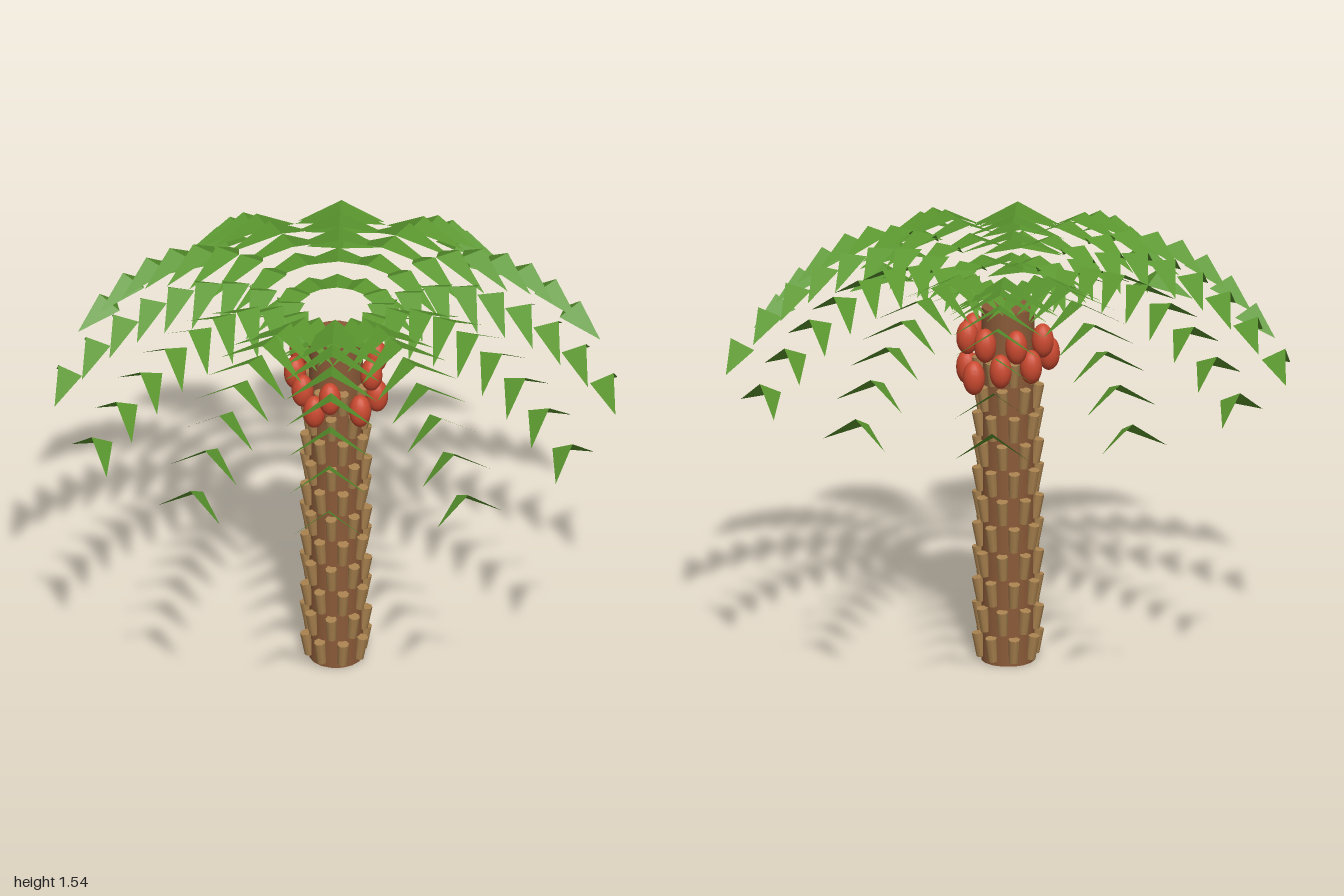
import * as THREE from 'three';

const mat = (name, color, extra = {}) => {
  const m = new THREE.MeshStandardMaterial({ color, ...extra });
  m.name = name;
  return m;
};

// One frond: a row of folded leaflets along a drooping arc, pointing along +x
function frondGeometry() {
  const pos = [];
  for (let i = 0; i < 9; i++) {
    const r = 0.99 - i * 0.098;
    const y = 1.54 - 1.26 * (r - 0.46) ** 2;
    const tilt = Math.max(0, 0.9 * (r - 0.46));
    const width = 0.21 - 0.08 * r;
    const ridge = [r, y, 0];
    const apex = [r - 0.095 * Math.cos(tilt), y - 0.095 * Math.sin(tilt), 0];
    const tip = s => [r + 0.01, y - 0.095, s * width];
    pos.push(...apex, ...tip(1), ...ridge, ...apex, ...ridge, ...tip(-1));
  }
  const g = new THREE.BufferGeometry();
  g.setAttribute('position', new THREE.Float32BufferAttribute(pos, 3));
  g.computeVertexNormals();
  return g;
}

export function createModel() {
  const model = new THREE.Group();
  model.name = 'palmTree';
  const bark = mat('bark brown', 0x8a5a38);
  const scaleTan = mat('bark scale tan', 0xa9824f);
  const leafGreen = mat('leaf green', 0x5a962e, { side: THREE.DoubleSide });
  const fruitRed = mat('fruit red', 0xcb4a30);

  const add = (parent, name, geometry, material) => {
    const mesh = new THREE.Mesh(geometry, material);
    mesh.name = name;
    parent.add(mesh);
    return mesh;
  };
  const group = name => {
    const g = new THREE.Group();
    g.name = name;
    model.add(g);
    return g;
  };

  // Trunk
  add(model, 'trunk', new THREE.CylinderGeometry(0.097, 0.097, 1.33, 16), bark).position.y = 0.665;

  // Staggered rings of bark scales, leaning outward at the top
  const scales = group('barkScales');
  const scaleGeo = new THREE.CylinderGeometry(0.021, 0.017, 0.09, 8);
  scaleGeo.rotateZ(-0.15);
  scaleGeo.translate(0.104, 0, 0);
  for (let row = 0; row < 11; row++) {
    for (let i = 0; i < 8; i++) {
      const scale = add(scales, 'barkScale', scaleGeo, scaleTan);
      scale.position.y = 0.062 + row * 0.104;
      scale.rotation.y = (i + (row % 2) / 2) * Math.PI / 4;
    }
  }

  // Fruit cluster under the crown: [angle from +x towards +z, height]
  const fruits = group('fruits');
  const fruitGeo = new THREE.SphereGeometry(1, 16, 12);
  fruitGeo.scale(0.04, 0.063, 0.04);
  const spots = [
    [0, 1.21], [23, 1.085], [67, 1.15], [90, 1.085], [112, 1.15], [157, 1.16], [180, 1.225],
    [203, 1.14], [225, 1.22], [247, 1.13], [270, 1.22], [292, 1.085], [315, 1.22], [337, 1.09],
  ];
  for (const [deg, y] of spots) {
    const a = THREE.MathUtils.degToRad(deg);
    add(fruits, 'fruit', fruitGeo, fruitRed).position.set(0.148 * Math.cos(a), y, 0.148 * Math.sin(a));
  }

  // Crown of twelve fronds
  const crown = group('crown');
  const frondGeo = frondGeometry();
  for (let i = 0; i < 12; i++) {
    add(crown, 'frond', frondGeo, leafGreen).rotation.y = i * Math.PI / 6;
  }
  return model;
}
